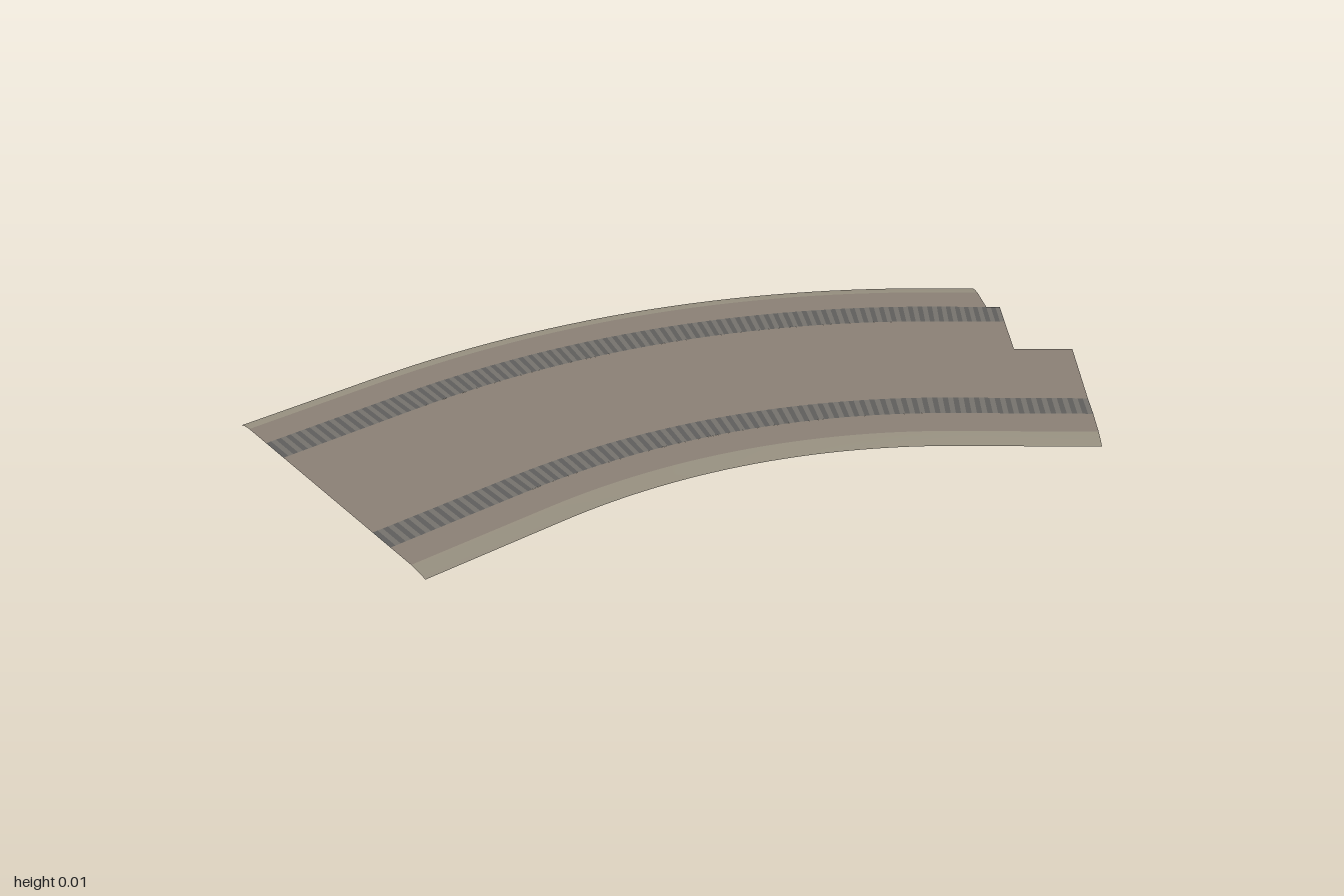
import * as THREE from 'three';

// Path: a straight lead-in, a 40 degree bend, then a straight tail.
const BEND = THREE.MathUtils.degToRad(40);
const CX = -0.62, CZ = 1.65, LEAD = 0.38, TOP = 0.008;

// Point on the path: radius r, t in 0..1 lead, 1..2 bend, 2..3 tail of length end.
function pathPoint(r, y, end, t) {
  const a = BEND * THREE.MathUtils.clamp(t - 1, 0, 1);
  const s = t < 1 ? (t - 1) * LEAD : Math.max(t - 2, 0) * end;
  return [
    CX + r * Math.sin(a) + s * Math.cos(a),
    y,
    CZ - r * Math.cos(a) + s * Math.sin(a),
  ];
}

function stations(lead, bend, tail) {
  const list = [0];
  [lead, bend, tail].forEach((n, part) => {
    for (let i = 1; i <= n; i++) list.push(part + i / n);
  });
  return list;
}

// Sweeps rows of [radius, height, tail length], ordered from inside to outside.
function sweep(name, color, rows, ts, keep = () => true) {
  const pos = [], index = [], n = rows.length;
  for (const t of ts) for (const [r, y, end] of rows) pos.push(...pathPoint(r, y, end, t));
  for (let i = 0; i < ts.length - 1; i++) {
    if (!keep(i)) continue;
    for (let j = 0; j < n - 1; j++) {
      const a = i * n + j, b = a + n;
      index.push(a, b, a + 1, b, b + 1, a + 1);
    }
  }
  const geo = new THREE.BufferGeometry();
  geo.setAttribute('position', new THREE.Float32BufferAttribute(pos, 3));
  geo.setIndex(index);
  geo.computeVertexNormals();
  const mesh = new THREE.Mesh(geo, new THREE.MeshStandardMaterial({ color, side: THREE.DoubleSide }));
  mesh.name = name;
  return mesh;
}

export function createModel() {
  const group = new THREE.Group();
  group.name = 'curvedTrackBed';
  const deck = 0x8a8075, edge = 0x979080, dark = 0x5f5e5c, mid = 0x75726d;
  const smooth = stations(2, 28, 2);
  const add = (name, color, rows, ts, keep) => group.add(sweep(name, color, rows, ts, keep));

  // Sloping shoulders along both sides
  add('innerShoulder', edge, [[1.5, 0, 0.352], [1.525, 0.005, 0.352], [1.56, TOP, 0.352]], smooth);
  add('outerShoulder', edge, [[2.34, TOP, 0.124], [2.365, 0.005, 0.119], [2.382, 0, 0.116]], smooth);

  // Flat deck; its end is stepped
  add('innerDeck', deck, [[1.56, TOP, 0.352], [1.65, TOP, 0.352]], smooth);
  add('middleDeck', deck, [[1.73, TOP, 0.35], [2.0, TOP, 0.348]], smooth);
  add('centreDeck', deck, [[2.0, TOP, 0.189], [2.16, TOP, 0.182]], smooth);
  add('outerDeck', deck, [[2.25, TOP, 0.14], [2.34, TOP, 0.124]], smooth);

  // Two bands of crosswise ties, alternating dark and lighter slats
  const bands = [
    ['inner', [[1.65, TOP, 0.352], [1.73, TOP, 0.35]], stations(28, 88, 26)],
    ['outer', [[2.16, TOP, 0.182], [2.25, TOP, 0.178]], stations(28, 114, 14)],
  ];
  for (const [side, rows, ts] of bands) {
    add(side + 'Ties', dark, rows, ts, (i) => i % 2 === 0);
    add(side + 'TieGaps', mid, rows, ts, (i) => i % 2 === 1);
  }
  return group;
}
